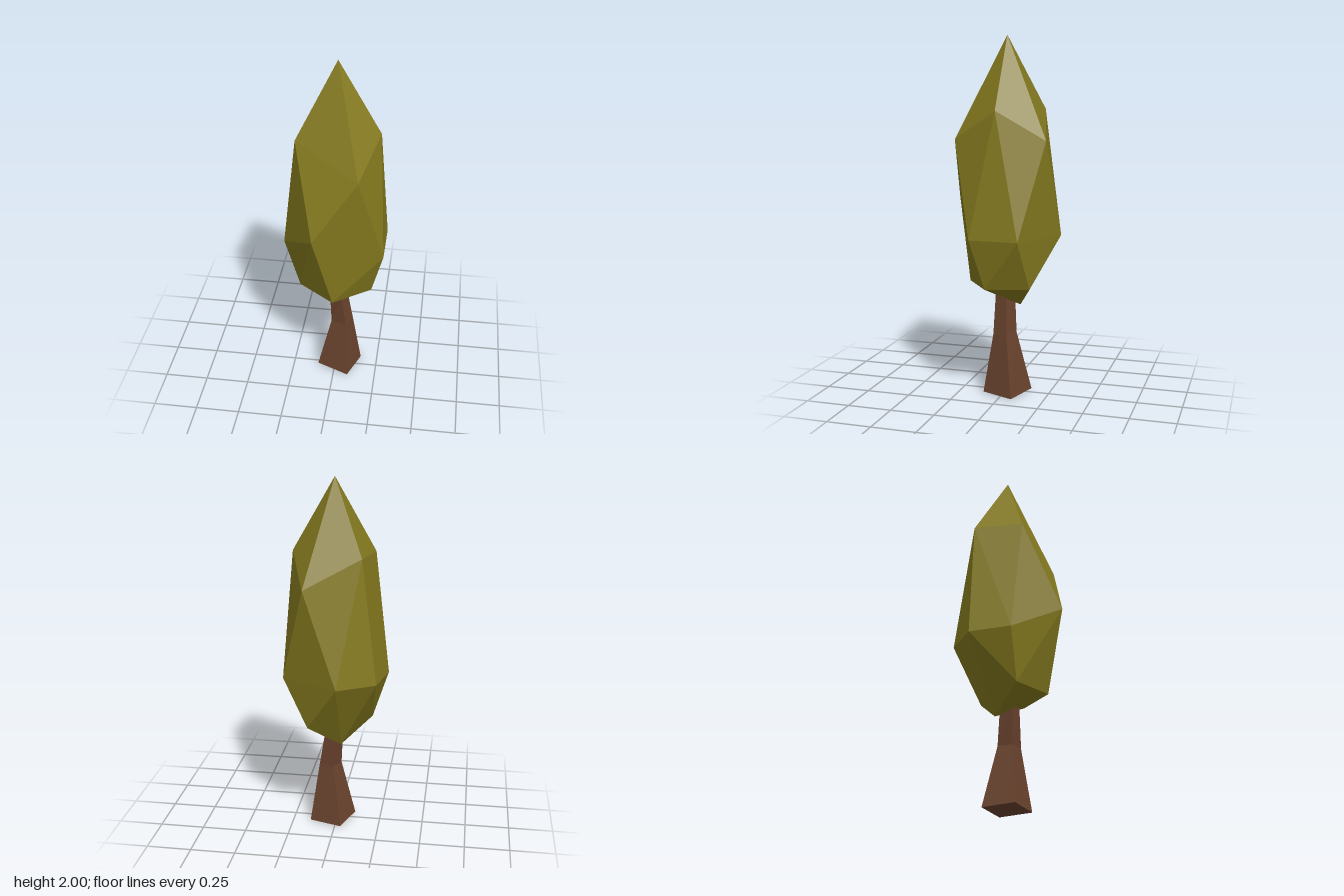
import * as THREE from 'three';
import { ConvexGeometry } from 'three/addons/geometries/ConvexGeometry.js';

// Skin stacked corner rings (counter-clockwise seen from above) with flat faces and end caps
function loft(rings) {
  const pos = [];
  const quad = (a, b, c, d) => [a, b, c, a, c, d].forEach((p) => pos.push(...p));
  for (let r = 0; r < rings.length - 1; r++) {
    for (let i = 0; i < 4; i++) {
      const j = (i + 1) % 4;
      quad(rings[r][i], rings[r][j], rings[r + 1][j], rings[r + 1][i]);
    }
  }
  quad(...[...rings[0]].reverse());
  quad(...rings[rings.length - 1]);
  const geo = new THREE.BufferGeometry();
  geo.setAttribute('position', new THREE.Float32BufferAttribute(pos, 3));
  geo.computeVertexNormals();
  return geo;
}

function addMesh(group, name, geometry, color) {
  const material = new THREE.MeshStandardMaterial({ color, flatShading: true });
  const mesh = new THREE.Mesh(geometry, material);
  mesh.name = name;
  group.add(mesh);
}

export function createModel() {
  const tree = new THREE.Group();
  tree.name = 'tree';

  // Four-sided trunk: flared foot, narrow waist, top buried in the foliage
  addMesh(tree, 'trunk', loft([
    [[0.085, 0.005, 0.11], [0.15, 0, -0.07], [-0.035, 0.01, -0.14], [-0.1, 0.015, 0.04]],
    [[0.07, 0.345, 0.055], [0.1, 0.35, -0.03], [0.015, 0.35, -0.065], [-0.02, 0.345, 0.02]],
    [[0.04, 0.57, 0.05], [0.065, 0.57, -0.02], [-0.005, 0.57, -0.05], [-0.03, 0.57, 0.02]],
  ]), 0x6a432e);

  // Faceted foliage: tip, shoulder ring, widest ring, underside ring, lowest point
  const foliage = [
    [0.013, 2, -0.01],
    [0.243, 1.6, -0.01], [0.15, 1.44, -0.265], [-0.155, 1.6, -0.183],
    [-0.2, 1.585, 0.095], [0.15, 1.44, 0.247],
    [0.283, 0.91, 0.127], [0.283, 0.91, -0.145], [-0.033, 0.91, -0.307],
    [-0.238, 0.91, -0.192], [-0.285, 0.91, 0.04], [-0.088, 1.09, 0.303],
    [0.01, 0.63, 0.21], [0.215, 0.63, 0.06], [0.145, 0.63, -0.175], [-0.195, 0.63, 0.06],
    [-0.03, 0.5, -0.075],
  ].map((p) => new THREE.Vector3(...p));
  addMesh(tree, 'foliage', new ConvexGeometry(foliage), 0x857a1f);

  return tree;
}
